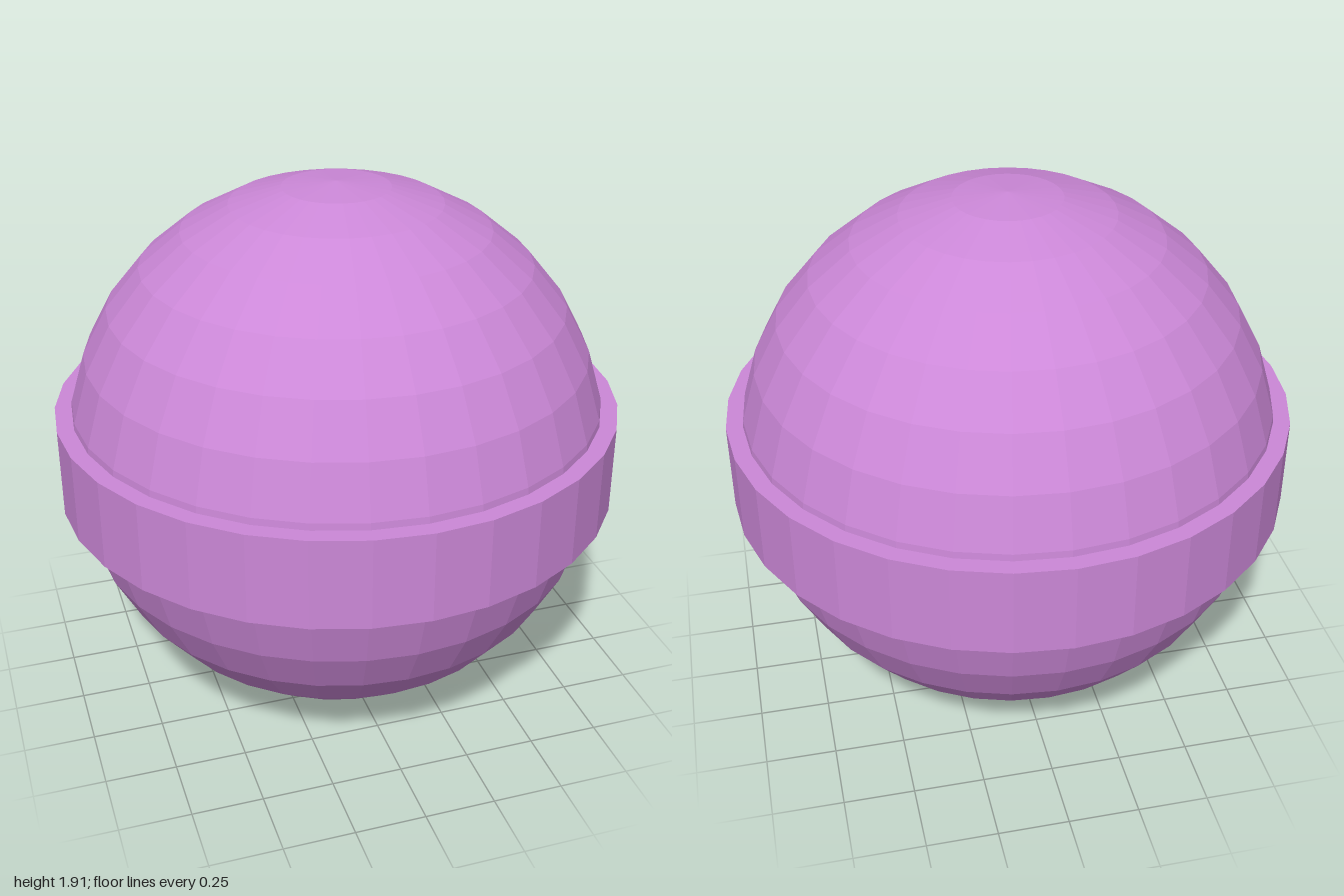
import * as THREE from 'three';

export function createModel() {
  const model = new THREE.Group();
  const material = new THREE.MeshStandardMaterial({ color: 0xcc88d8, flatShading: true });
  const radius = 0.957;

  function addPart(name, geometry, y) {
    const mesh = new THREE.Mesh(geometry, material);
    mesh.name = name;
    mesh.position.y = y;
    model.add(mesh);
  }

  // Faceted ball
  addPart('ball', new THREE.SphereGeometry(radius, 32, 16), radius);

  // Flat-sided band around the equator
  addPart('equatorBand', new THREE.CylinderGeometry(1, 1, 0.32, 32), 0.96);

  return model;
}
